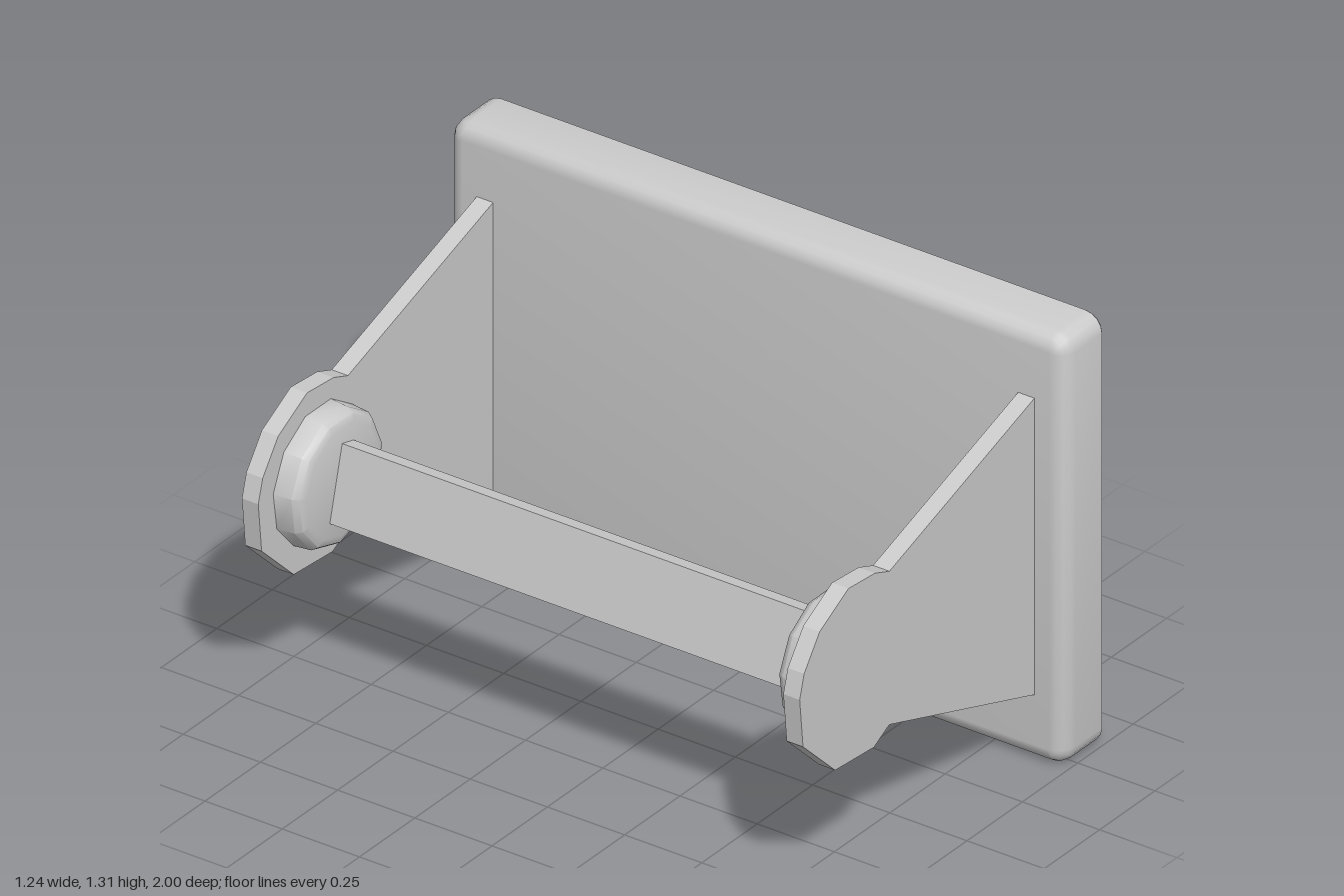
import * as THREE from 'three';
import { toCreasedNormals } from 'three/addons/utils/BufferGeometryUtils.js';
import { ConvexGeometry } from 'three/addons/geometries/ConvexGeometry.js';

const HUB = { x: -0.35, y: 0.66 };

export function createModel() {
  const group = new THREE.Group();
  const material = new THREE.MeshStandardMaterial({ color: 0xcccccc });
  const add = (name, geometry) => {
    const mesh = new THREE.Mesh(geometry, material);
    mesh.name = name;
    group.add(mesh);
    return mesh;
  };

  // Wall plate: rounded outline, soft rim on the holder side, crisp rim on the wall side
  const rims = [[0.62, 0.008], [0.61, 0]];
  for (let i = 0; i <= 4; i++) {
    const a = (i / 4) * Math.PI / 2;
    rims.push([0.49 - 0.05 * Math.sin(a), 0.05 * (1 - Math.cos(a))]);
  }
  const points = [];
  for (const [x, inset] of rims) {
    const r = 0.055 - inset;
    for (const sy of [-1, 1]) for (const sz of [-1, 1]) for (let k = 0; k <= 4; k++) {
      const a = (k / 4) * Math.PI / 2;
      points.push(new THREE.Vector3(
        x,
        0.655 + sy * (0.6 + r * Math.cos(a)),
        sz * (0.945 + r * Math.sin(a))
      ));
    }
  }
  add('wallPlate', toCreasedNormals(new ConvexGeometry(points), 0.6));

  // Arm outline: wide at the plate, narrowing to a faceted round end
  const outline = [
    [0.45, 0.2], [0.45, 1.11], [-0.215, 0.89], [-0.28, 0.915], [-0.4, 0.925], [-0.53, 0.855],
    [-0.6, 0.76], [-0.62, 0.69], [-0.605, 0.54], [-0.46, 0.4], [-0.285, 0.387], [-0.215, 0.423]
  ].map(([x, y]) => new THREE.Vector2(x, y));
  const armGeometry = new THREE.ExtrudeGeometry(new THREE.Shape(outline), { depth: 0.053, bevelEnabled: false });

  // Hub disc with a rounded inner rim, turned about z
  const hubProfile = [[0, 0.77], [0.165, 0.77], [0.188, 0.777], [0.2, 0.795], [0.205, 0.852], [0, 0.852]]
    .map(([r, z]) => new THREE.Vector2(r, z));
  const hubGeometry = toCreasedNormals(new THREE.LatheGeometry(hubProfile, 11).rotateX(Math.PI / 2), 0.7);

  for (const [side, s] of [['front', 1], ['back', -1]]) {
    add(side + 'Arm', armGeometry).position.z = s > 0 ? 0.85 : -0.903;
    const hub = add(side + 'Hub', hubGeometry);
    hub.position.set(HUB.x, HUB.y, 0);
    if (s < 0) hub.rotation.y = Math.PI;
  }

  // Flat roller bar, leaning towards the plate
  const bar = add('rollerBar', new THREE.BoxGeometry(0.053, 0.225, 1.55));
  bar.position.set(-0.355, HUB.y, 0);
  bar.rotation.z = -0.25;

  return group;
}
